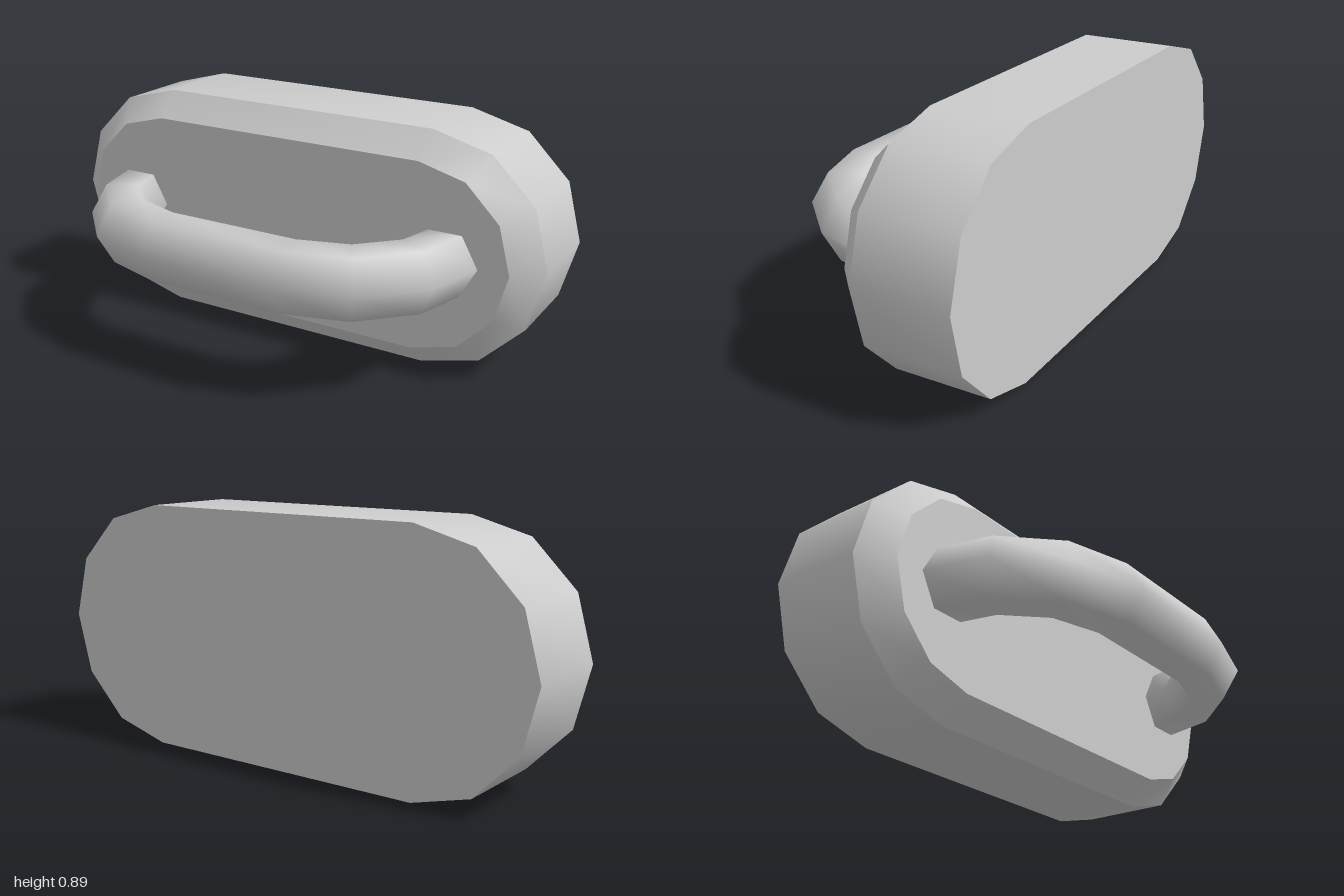
import * as THREE from 'three';
import { toCreasedNormals } from 'three/addons/utils/BufferGeometryUtils.js';

// Skin a list of closed rings (counter-clockwise about the path) and cap both ends
function loft(rings) {
  const n = rings[0].length, last = (rings.length - 1) * n, index = [];
  for (let i = 0; i < rings.length - 1; i++) {
    for (let j = 0; j < n; j++) {
      const a = i * n + j, b = i * n + (j + 1) % n;
      index.push(a, b, b + n, a, b + n, a + n);
    }
  }
  for (let j = 1; j < n - 1; j++) {
    index.push(0, j + 1, j, last, last + j, last + j + 1);
  }
  const geometry = new THREE.BufferGeometry();
  geometry.setAttribute('position', new THREE.Float32BufferAttribute(rings.flat(2), 3));
  geometry.setIndex(index);
  geometry.computeVertexNormals();
  return geometry;
}

// Stadium outline with six segments per rounded end
function stadium(halfStraight, radius, z) {
  const ring = [];
  for (const side of [1, -1]) {
    for (let k = -3; k <= 3; k++) {
      const a = k * Math.PI / 6;
      ring.push([side * (halfStraight + radius * Math.cos(a)), 0.445 + side * radius * Math.sin(a), z]);
    }
  }
  return ring;
}

// Hexagonal handle section between its outer and inner corners [x, z]
function section([ox, oz], [ix, iz]) {
  const at = (t, dy) => [ix + (ox - ix) * t, 0.446 + dy, iz + (oz - iz) * t];
  const h = 0.113;
  return [at(1, 0), at(0.75, h), at(0.25, h), at(0, 0), at(0.25, -h), at(0.75, -h)];
}

export function createModel() {
  const group = new THREE.Group();
  const grey = new THREE.MeshStandardMaterial({ color: 0xcccccc });
  grey.name = 'light grey';

  // Thick base plate with a bevelled front edge
  const plate = new THREE.Mesh(toCreasedNormals(loft([
    stadium(0.555, 0.445, -0.48),
    stadium(0.555, 0.445, -0.125),
    stadium(0.547, 0.352, -0.03),
  ]), 0.65), grey);
  plate.name = 'basePlate';

  // Bent bar handle: outer and inner corners from one foot to the middle
  const half = [
    [[0.793, -0.06], [0.54, -0.06]],
    [[0.725, 0.2], [0.512, 0.07]],
    [[0.53, 0.4], [0.41, 0.18]],
    [[0.265, 0.477], [0.255, 0.23]],
  ];
  const mirrored = half.map(pair => pair.map(([x, z]) => [-x, z])).reverse();
  const handle = new THREE.Mesh(loft([...half, ...mirrored].map(([o, i]) => section(o, i))), grey);
  handle.name = 'handle';

  group.add(plate, handle);
  return group;
}
